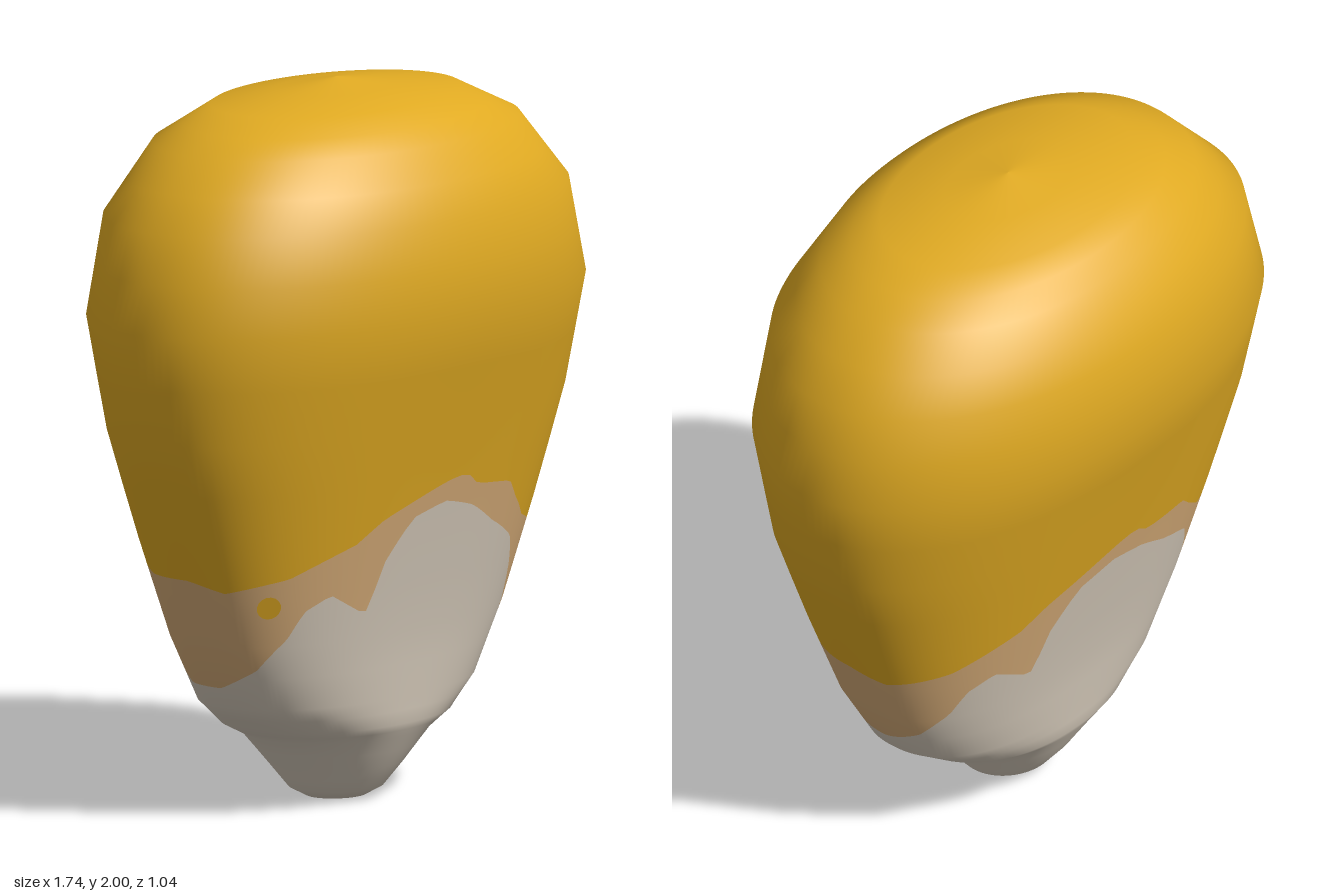
import * as THREE from 'three';

// Cross-sections from tip to crown: [y, half width, half depth, squareness]
const RINGS = [
  [0, 0, 0, 2], [0.005, 0.09, 0.08, 2], [0.03, 0.14, 0.125, 2], [0.1, 0.2, 0.18, 2],
  [0.19, 0.285, 0.235, 2.1], [0.23, 0.375, 0.257, 2.2], [0.31, 0.485, 0.268, 2.3],
  [0.5, 0.595, 0.297, 2.4], [0.78, 0.705, 0.362, 2.35], [1.09, 0.822, 0.44, 2.2],
  [1.4, 0.872, 0.522, 2.1], [1.67, 0.797, 0.502, 2.1], [1.86, 0.625, 0.4, 2.1],
  [1.95, 0.43, 0.28, 2], [2, 0, 0, 2],
];
const LAST = RINGS.length - 1;
const COLUMNS = 144;

// Wavy colour edges as [degrees around from the left side, height], repeated on the back
const HULL_EDGE = [[0, 0.69], [20, 0.69], [35, 0.71], [53, 0.75], [63, 0.82], [68, 0.87], [82, 0.89],
  [86, 0.93], [90, 0.92], [107, 0.84], [115, 0.78], [138, 0.70], [165, 0.66], [180, 0.69]];
const GERM_EDGE = [[0, 0.37], [22, 0.37], [36, 0.42], [42, 0.5], [50, 0.61], [58, 0.7], [73, 0.77],
  [82, 0.83], [90, 0.86], [98, 0.83], [106, 0.7], [109, 0.58], [112, 0.58], [123, 0.64],
  [133, 0.6], [141, 0.52], [158, 0.43], [180, 0.37]];

const { clamp, lerp } = THREE.MathUtils;

function lookup(table, x) {
  let i = 0;
  while (i < table.length - 2 && table[i + 1][0] < x) i++;
  const [a, b] = [table[i], table[i + 1]];
  return lerp(a[1], b[1], (x - a[0]) / (b[0] - a[0]));
}

const ringAt = (y) => lookup(RINGS.map((r, i) => [r[0], i]), y);
const edgeAt = (table, t) => ringAt(lookup(table, THREE.MathUtils.radToDeg(t) % 180));

// Surface point at angle t and fractional ring s
function surface(t, s) {
  const i = Math.min(Math.floor(s), LAST - 1);
  const [y, w, d, n] = RINGS[i].map((v, k) => lerp(v, RINGS[i + 1][k], s - i));
  const bend = (v) => Math.sign(v) * Math.abs(v) ** (2 / n);
  return new THREE.Vector3(w * bend(Math.cos(t)), y, d * bend(Math.sin(t)));
}

function surfaceNormal(t, s) {
  const m = clamp(s, 0.5, LAST - 0.5);
  const up = surface(t, m + 0.5).sub(surface(t, m - 0.5));
  const around = surface(t + 0.12, m).sub(surface(t - 0.12, m));
  return up.cross(around).normalize();
}

// Band of skin between two edges, each a function of the angle
function band(low, high) {
  const steps = LAST * 2;
  const position = [], normal = [], index = [];
  for (let c = 0; c <= COLUMNS; c++) {
    const t = ((c % COLUMNS) / COLUMNS) * Math.PI * 2;
    const [a, b] = [low(t), high(t)];
    for (let r = 0; r <= steps; r++) {
      const s = clamp(r / 2, a, b);
      position.push(...surface(t, s).toArray());
      normal.push(...surfaceNormal(t, s).toArray());
    }
  }
  const at = (k) => new THREE.Vector3().fromArray(position, k * 3);
  const addFace = (a, b, c) => {
    const area = at(b).sub(at(a)).cross(at(c).sub(at(a))).length();
    if (area > 1e-9) index.push(a, b, c);
  };
  for (let c = 0; c < COLUMNS; c++) {
    for (let r = 0; r < steps; r++) {
      const k = c * (steps + 1) + r, next = k + steps + 1;
      addFace(k, k + 1, next);
      addFace(next, k + 1, next + 1);
    }
  }
  const geometry = new THREE.BufferGeometry();
  geometry.setAttribute('position', new THREE.Float32BufferAttribute(position, 3));
  geometry.setAttribute('normal', new THREE.Float32BufferAttribute(normal, 3));
  geometry.setIndex(index);
  return geometry;
}

export function createModel() {
  const material = (name, color) => {
    const m = new THREE.MeshStandardMaterial({ color });
    m.name = name;
    return m;
  };
  const yellow = material('golden yellow', 0xe0aa22);
  const tan = material('tan', 0xd6ac78);
  const cream = material('pale cream', 0xd6cbbb);

  const group = new THREE.Group();
  group.name = 'cornKernel';
  const add = (name, geometry, mat) => {
    const mesh = new THREE.Mesh(geometry, mat);
    mesh.name = name;
    group.add(mesh);
    return mesh;
  };

  // Skin in three colours, from the tip upwards
  const germ = (t) => edgeAt(GERM_EDGE, t);
  const hull = (t) => edgeAt(HULL_EDGE, t);
  add('germAndTip', band(() => 0, germ), cream);
  add('middleBand', band(germ, hull), tan);
  add('crown', band(hull, () => LAST), yellow);

  // Small yellow fleck on the front
  const t = 2.57, s = ringAt(0.62);
  const normal = surfaceNormal(t, s);
  const fleck = add('fleck', new THREE.CircleGeometry(0.034, 16), yellow);
  fleck.position.copy(surface(t, s)).addScaledVector(normal, 0.005);
  fleck.quaternion.setFromUnitVectors(new THREE.Vector3(0, 0, 1), normal);

  return group;
}
